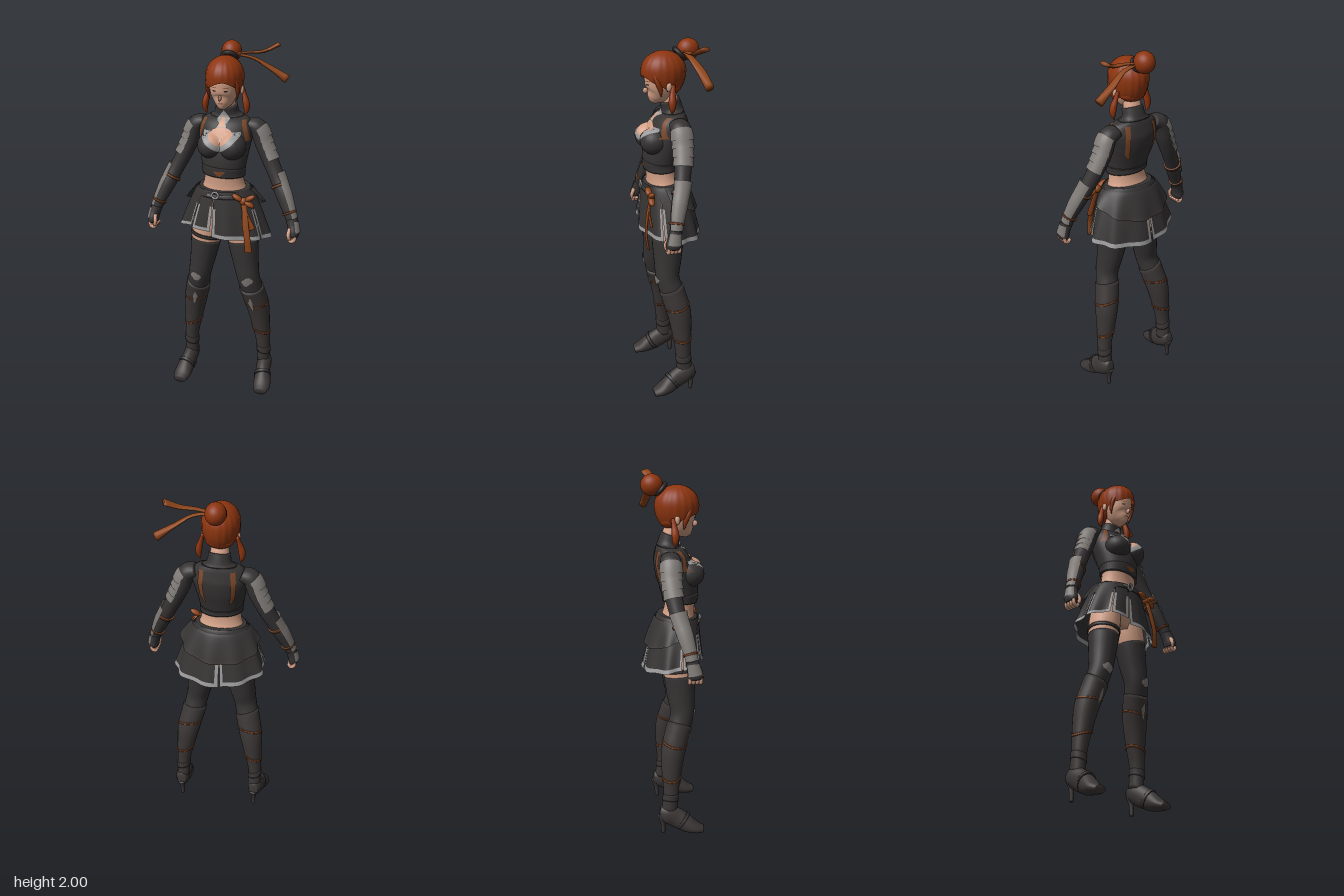
import * as THREE from 'three';

const mat = (name, color) => Object.assign(new THREE.MeshStandardMaterial({ color, side: THREE.DoubleSide }), { name });
const lerp = THREE.MathUtils.lerp;

// Surface from a rule f(u, v); faces point along du x dv. pick(u, v) chooses the material group.
function grid(nu, nv, f, wrap = false, pick = null) {
  const pos = [], lists = [[], []], cols = wrap ? nu : nu + 1;
  for (let j = 0; j <= nv; j++)
    for (let i = 0; i < cols; i++) pos.push(...f(i / nu, j / nv));
  for (let j = 0; j < nv; j++)
    for (let i = 0; i < nu; i++) {
      const k = (i + 1) % cols, a = j * cols + i, b = j * cols + k, c = a + cols, d = b + cols;
      lists[pick ? pick((i + 0.5) / nu, (j + 0.5) / nv) : 0].push(a, b, c, b, d, c);
    }
  const g = new THREE.BufferGeometry();
  g.setAttribute('position', new THREE.Float32BufferAttribute(pos, 3));
  g.setIndex([...lists[0], ...lists[1]]);
  if (pick) {
    g.addGroup(0, lists[0].length, 0);
    g.addGroup(lists[0].length, lists[1].length, 1);
  }
  g.computeVertexNormals();
  return g;
}

// Elliptical sweep through stations [x, y, z, rx, rz]; from/to are station numbers, arc = [start, end] angle.
function sweep(st, { from = 0, to = st.length - 1, g0 = 0, g1 = g0, arc = null, tilt = 0, ref = [0, 0, 1], n = 24 } = {}) {
  const last = st.length - 1;
  const path = new THREE.CatmullRomCurve3(st.map(p => new THREE.Vector3(p[0], p[1], p[2])));
  const size = new THREE.CatmullRomCurve3(st.map(p => new THREE.Vector3(p[3], p[4], 0)), false, 'catmullrom', 0.5);
  const R = new THREE.Vector3(...ref), rows = Math.max(4, Math.ceil((to - from) * 6));
  const [a0, a1] = arc || [0, Math.PI * 2];
  return grid(n, rows + 2, (u, v) => {
    const row = Math.round(v * (rows + 2)), w = THREE.MathUtils.clamp((row - 1) / rows, 0, 1);
    const cap = !arc && (row === 0 || row === rows + 2) ? 0.001 : 1;
    const a = lerp(a0, a1, u), t = THREE.MathUtils.clamp((lerp(from, to, w) + tilt * Math.cos(a)) / last, 0, 1);
    const T = path.getTangent(t), e1 = R.clone().cross(T).normalize(), e2 = T.clone().cross(e1);
    const s = size.getPoint(t), g = lerp(g0, g1, w);
    return path.getPoint(t).addScaledVector(e1, Math.cos(a) * (s.x + g) * cap)
      .addScaledVector(e2, Math.sin(a) * (s.y + g) * cap).toArray();
  }, !arc);
}

export function createModel() {
  const model = new THREE.Group();
  model.name = 'warriorFigure';
  const skin = mat('skin', 0xd3a086), cloth = mat('darkCloth', 0x363333), boot = mat('bootLeather', 0x3c3636),
    hairM = mat('redHair', 0x8d350f), ribbonM = mat('orangeRibbon', 0x8e461b), brown = mat('brownLeather', 0x7a4628),
    plate = mat('greyPlate', 0x7f7a76), trim = mat('paleTrim', 0x9b9a9a), dark = mat('darkDetail', 0x2a2324),
    lip = mat('lips', 0xb0705f);

  const add = (name, geo, m, p) => {
    const mesh = new THREE.Mesh(geo, m);
    mesh.name = name;
    if (p) mesh.position.set(...p);
    model.add(mesh);
    return mesh;
  };
  const ball = (name, m, p, s) => {
    const b = add(name, new THREE.SphereGeometry(1, 24, 16), m, p);
    b.scale.set(...s);
    return b;
  };
  // Thin painted piece laid on target meshes; rows [y, x0, x1] go from bottom to top.
  const ray = new THREE.Raycaster();
  const decal = (name, m, targets, rows, dir = 1, off = 0.004) => {
    targets.forEach(t => t.updateMatrixWorld());
    let z = 0;
    add(name, grid(12, (rows.length - 1) * 5, (u, v) => {
      const r = v * (rows.length - 1), i = Math.min(Math.floor(r), rows.length - 2), f = r - i;
      const [y, xa, xb] = rows[i].map((q, k) => lerp(q, rows[i + 1][k], f));
      const x = lerp(Math.min(xa, xb), Math.max(xa, xb), dir > 0 ? u : 1 - u);
      ray.set(new THREE.Vector3(x, y, dir), new THREE.Vector3(0, 0, -dir));
      const hit = ray.intersectObjects(targets, false)[0];
      if (hit) z = hit.point.z + dir * off;
      return [x, y, z];
    }), m);
  };

  // Torso, cropped top and collar
  const trunk = [[0, .99, 0, .09, .08], [0, 1.08, 0, .15, .11], [0, 1.18, .02, .145, .105], [0, 1.25, .03, .115, .085],
    [0, 1.31, .035, .106, .083], [0, 1.36, .035, .114, .093], [0, 1.44, .02, .128, .1], [0, 1.5, 0, .138, .098],
    [0, 1.56, -.02, .145, .085], [0, 1.605, -.03, .115, .06], [0, 1.63, -.028, .062, .05], [0, 1.68, -.015, .05, .045],
    [0, 1.75, .01, .042, .042]];
  add('torso', sweep(trunk, { n: 40 }), skin);
  const top = add('croppedTop', sweep(trunk, { from: 4.2, to: 10, g0: .007, n: 40 }), cloth);
  const hem = add('topHem', sweep(trunk, { from: 4, to: 4.9, g0: .013, g1: .009, tilt: .12, n: 40 }), cloth);
  const collar = add('collar', sweep(trunk, { from: 9.5, to: 11, g0: .008, n: 32 }), cloth);
  const busts = [-1, 1].map(s => ball('bust', cloth, [s * .06, 1.472, .082], [.072, .072, .08]));
  const chest = [top, collar, ...busts];
  decal('necklineTrim', trim, chest, [[1.45, -.006, .006], [1.495, -.07, .07], [1.535, -.105, .105], [1.55, -.1, .1]]);
  decal('necklineSkin', skin, chest, [[1.482, -.006, .006], [1.51, -.045, .045], [1.54, -.066, .066], [1.56, -.05, .05], [1.575, -.02, .02]], 1, .008);
  decal('collarOrnament', trim, chest, [[1.57, -.03, .03], [1.588, -.02, .02], [1.612, -.036, .036], [1.655, -.003, .003]], 1, .009);
  decal('collarOpening', skin, chest, [[1.574, -.02, .02], [1.6, -.013, .013], [1.628, -.002, .002]], 1, .013);
  decal('hemClasp', brown, [hem, top], [[1.315, -.006, .006], [1.335, -.03, .03], [1.343, -.03, .03]]);

  // Skirt of flared panels with pale edges, plus a draped layer behind
  const panel = (name, d0, d1, lowA, lowB, grow, gap, sag, mats) => add(name, grid(48, 24, (u, v) => {
    const w = 1 - v, f = Math.pow(w, .8), k = lerp(d0 + gap * w, d1 - gap * w, u) * Math.PI / 180;
    const y = lerp(1.228, lerp(lowA, lowB, u) - sag * Math.sin(u * Math.PI), w), pleat = 1 + .04 * w * Math.sin(k * 9);
    const reach = grow ? .6 : 1;
    return [Math.sin(k) * (lerp(.15, .255, f * reach) * pleat + grow), y,
      lerp(.02, -.005, f) + Math.cos(k) * (lerp(.115, .17, f * reach) * pleat + grow)];
  }, false, (u, v) => (v < .1 || (gap && v < .62 && Math.min(u, 1 - u) * (d1 - d0) < 4.5) ? 1 : 0)), mats);
  [[-80, -38, .985, 1.015], [-38, -10, 1.01, 1.0], [-10, 62, .97, .955], [62, 186, .95, .925], [186, 280, .93, .985]]
    .forEach(([a, b, ya, yb]) => panel('skirtPanel', a, b, ya, yb, 0, 1.2, 0, [cloth, trim]));
  panel('skirtDrape', 75, 285, 1.17, 1.15, .007, 0, .09, [cloth, boot]);
  add('belt', sweep([[0, 1.19, .02, .163, .127], [0, 1.215, .02, .153, .12], [0, 1.238, .022, .14, .108]], { n: 40, tilt: .1 }), cloth);
  add('beltBuckle', new THREE.TorusGeometry(.018, .006, 8, 20), trim, [-.02, 1.21, .145]);
  add('beltPlate', new THREE.BoxGeometry(.03, .014, .008), plate, [-.055, 1.21, .138]).rotation.y = -.3;

  // Sash knot, bow and tails at the left hip
  ball('sashKnot', ribbonM, [.135, 1.185, .125], [.022, .022, .02]);
  [[-.035, .02], [.035, .022], [.03, -.012]].forEach(([x, y]) =>
    ball('sashLoop', ribbonM, [.135 + x, 1.185 + y, .13], [.032, .015, .018]).rotation.z = x * y > 0 ? .5 : -.5);
  add('sashTail', sweep([[.14, 1.18, .13, .012, .006], [.15, 1.08, .15, .018, .006], [.165, .98, .16, .018, .006], [.17, .9, .15, .022, .006]]), ribbonM);
  add('sashTail', sweep([[.13, 1.18, .13, .012, .006], [.155, 1.1, .14, .018, .006], [.185, 1.03, .135, .02, .006]]), ribbonM);

  // Head, face and hair
  const head = add('head', sweep([[0, 1.67, .08, .014, .018], [0, 1.69, .068, .036, .044], [0, 1.72, .048, .06, .07],
    [0, 1.76, .035, .074, .086], [0, 1.82, .025, .08, .096], [0, 1.88, .02, .07, .085]], { n: 36 }), skin);
  ball('nose', skin, [0, 1.735, .116], [.008, .016, .015]);
  decal('mouth', lip, [head], [[1.7, -.006, .006], [1.704, -.015, .015], [1.708, -.01, .01]], 1, .003);
  for (const s of [-1, 1]) {
    decal('eye', dark, [head], [[1.767, s * .026, s * .036], [1.771, s * .02, s * .042], [1.775, s * .024, s * .04]], 1, .003);
    decal('eyebrow', hairM, [head], [[1.788, s * .017, s * .046], [1.791, s * .02, s * .048]], 1, .003);
    ball('ear', skin, [s * .092, 1.765, .012], [.011, .024, .015]);
    add('sideLock', sweep([[s * .09, 1.775, -.012, .008, .01], [s * .1, 1.735, -.005, .012, .015],
      [s * .112, 1.69, 0, .018, .02], [s * .114, 1.655, 0, .014, .016], [s * .106, 1.625, 0, .003, .003]]), hairM);
    add('fringeLock', sweep([[s * .066, 1.83, .085, .014, .012], [s * .08, 1.79, .07, .012, .014],
      [s * .08, 1.75, .055, .007, .012], [s * .074, 1.715, .05, .003, .003]]), hairM);
  }
  add('hair', grid(72, 24, (u, v) => {
    const a = u * Math.PI * 2, front = Math.max(0, Math.cos(a));
    const low = 1.738 + .068 * Math.pow(front, .6) + .012 * front * Math.sin(a * 3 + .8);
    const y = lerp(low, 1.94, Math.sin(v * Math.PI / 2)), h = (y - 1.835) / (y > 1.835 ? .105 : .15);
    const r = Math.sqrt(Math.max(0, 1 - h * h)) * (1 + .012 * Math.sin(a * 18));
    return [Math.sin(a) * .1 * r, y, .018 + Math.cos(a) * .12 * r];
  }, true), hairM);
  ball('napeHair', hairM, [0, 1.755, -.018], [.076, .045, .06]);
  ball('hairBun', hairM, [0, 1.94, -.115], [.054, .058, .06]);
  add('hairTie', new THREE.TorusGeometry(.036, .012, 10, 28), dark, [0, 1.918, -.068]).rotation.x = .75;
  add('hairRibbon', sweep([[.02, 1.93, -.09, .006, .012], [.1, 1.942, -.085, .006, .018], [.18, 1.95, -.095, .008, .022],
    [.255, 1.985, -.13, .012, .026]]), ribbonM);
  add('hairRibbon', sweep([[.02, 1.93, -.09, .006, .012], [.12, 1.912, -.1, .007, .018], [.21, 1.86, -.125, .012, .024],
    [.3, 1.8, -.14, .024, .022]]), ribbonM);

  for (const s of [-1, 1]) {
    const flip = st => st.map(p => [s * p[0], ...p.slice(1)]);
    const outer = w => (s > 0 ? [-w, w] : [Math.PI - w, Math.PI + w]);

    // Arm with layered plates, bracer and straps
    const armSt = flip([[.12, 1.575, -.03, .036, .05], [.17, 1.555, -.03, .048, .056], [.205, 1.47, -.03, .048, .052], [.245, 1.38, -.02, .044, .046],
      [.29, 1.29, 0, .041, .041], [.33, 1.21, .025, .042, .041], [.37, 1.12, .05, .033, .033], [.39, 1.07, .06, .029, .03]]);
    const arm = add('armSleeve', sweep(armSt), cloth);
    for (let i = 0; i < 4; i++)
      add('upperArmPlate', sweep(armSt, { from: 1.05 + i * .47, to: 1.6 + i * .47, g0: .003, g1: .01, arc: outer(1.5) }), plate);
    add('elbowPlate', sweep(armSt, { from: 3.75, to: 4.6, g0: .013, g1: .008, arc: outer(1.1) }), plate);
    add('bracer', sweep(armSt, { from: 4.5, to: 6.7, g0: .007, g1: .006, arc: outer(1.15) }), plate);
    [4.35, 5.95].forEach(t => add('armStrap', sweep(armSt, { from: t, to: t + .16, g0: .008 }), brown));

    // Fist in a fingerless glove
    add('glove', sweep(flip([[.385, 1.085, .058, .032, .034], [.396, 1.05, .066, .03, .036], [.404, 1.015, .074, .03, .042], [.403, .995, .076, .024, .038]])), cloth);
    add('handPlate', sweep(flip([[.392, 1.075, .062, .034, .036], [.405, 1.015, .072, .034, .042]]), { arc: outer(1.1) }), plate);
    for (let i = 0; i < 4; i++) {
      const z = .045 + i * .019;
      add('finger', sweep(flip([[.413, 1.005, z, .01, .01], [.41, .98, z, .011, .01], [.392, .972, z, .01, .01], [.378, .99, z, .009, .009]]), { n: 10 }), skin);
    }
    add('thumb', sweep(flip([[.385, 1.045, .095, .011, .011], [.38, 1.01, .112, .011, .011], [.385, .985, .11, .008, .008]]), { n: 10 }), skin);

    // Shoulder harness, front and back
    decal('harnessFront', brown, [top, arm, ...busts], [[1.5, s * .125, s * .143], [1.55, s * .113, s * .133], [1.605, s * .095, s * .115]], 1, .006);
    decal('harnessBack', brown, [top, arm], [[1.41, s * .062, s * .075], [1.45, s * .07, s * .094], [1.53, s * .075, s * .102], [1.605, s * .07, s * .096]], -1, .007);

    // Leg, stocking and boot
    const legSt = flip([[.08, 1.08, .015, .078, .09], [.098, .98, .02, .086, .09], [.11, .9, .025, .081, .084], [.125, .8, .03, .07, .074],
      [.143, .7, .035, .061, .063], [.165, .6, .008, .06, .062], [.188, .5, -.018, .058, .061], [.205, .38, -.03, .046, .05],
      [.22, .25, -.035, .034, .038], [.222, .13, -.045, .034, .042]]);
    add('thigh', sweep(legSt, { to: 2.6 }), skin);
    const stocking = add('stocking', sweep(legSt, { from: s < 0 ? 1.85 : 1.7, to: 5.5, g0: .003 }), cloth);
    const shaft = add('bootShaft', sweep(legSt, { from: 4.6, to: 9, g0: .009, g1: .004, tilt: .08 }), boot);
    if (s < 0) add('thighStrap', sweep(legSt, { from: 1.36, to: 1.6, g0: .005, tilt: .05 }), cloth);
    decal('kneePlate', plate, [stocking, shaft], [[.665, s * .135, s * .15], [.69, s * .115, s * .18], [.705, s * .12, s * .185], [.725, s * .15, s * .165]], 1, .008);
    decal('shinPlate', plate, [shaft], [[.5, s * .172, s * .178], [.55, s * .15, s * .178], [.58, s * .16, s * .168]], 1, .005);
    [[5.55, .22], [7.2, .18]].forEach(([t, tilt]) =>
      add('bootStrap', sweep(legSt, { from: t, to: t + .1, g0: .01, tilt: s * tilt }), brown));
    add('ankleCuff', sweep(legSt, { from: 8.1, to: 8.4, g0: .008, tilt: .08 }), boot);

    // Shoe and high heel
    add('shoe', sweep(flip([[.224, .125, -.1, .026, .036], [.226, .12, -.06, .042, .055], [.23, .09, 0, .042, .058], [.24, .054, .06, .049, .048],
      [.245, .034, .105, .049, .032], [.246, .022, .145, .034, .02]]), { ref: [0, 1, 0] }), boot);
    add('shoeStrap', sweep(flip([[.232, .08, .025, .048, .06], [.236, .07, .04, .05, .056]]), { ref: [0, 1, 0] }), cloth);
    add('heel', sweep(flip([[.224, .11, -.09, .026, .024], [.224, .06, -.082, .014, .014], [.224, 0, -.08, .01, .011]])), boot);
  }
  return model;
}
